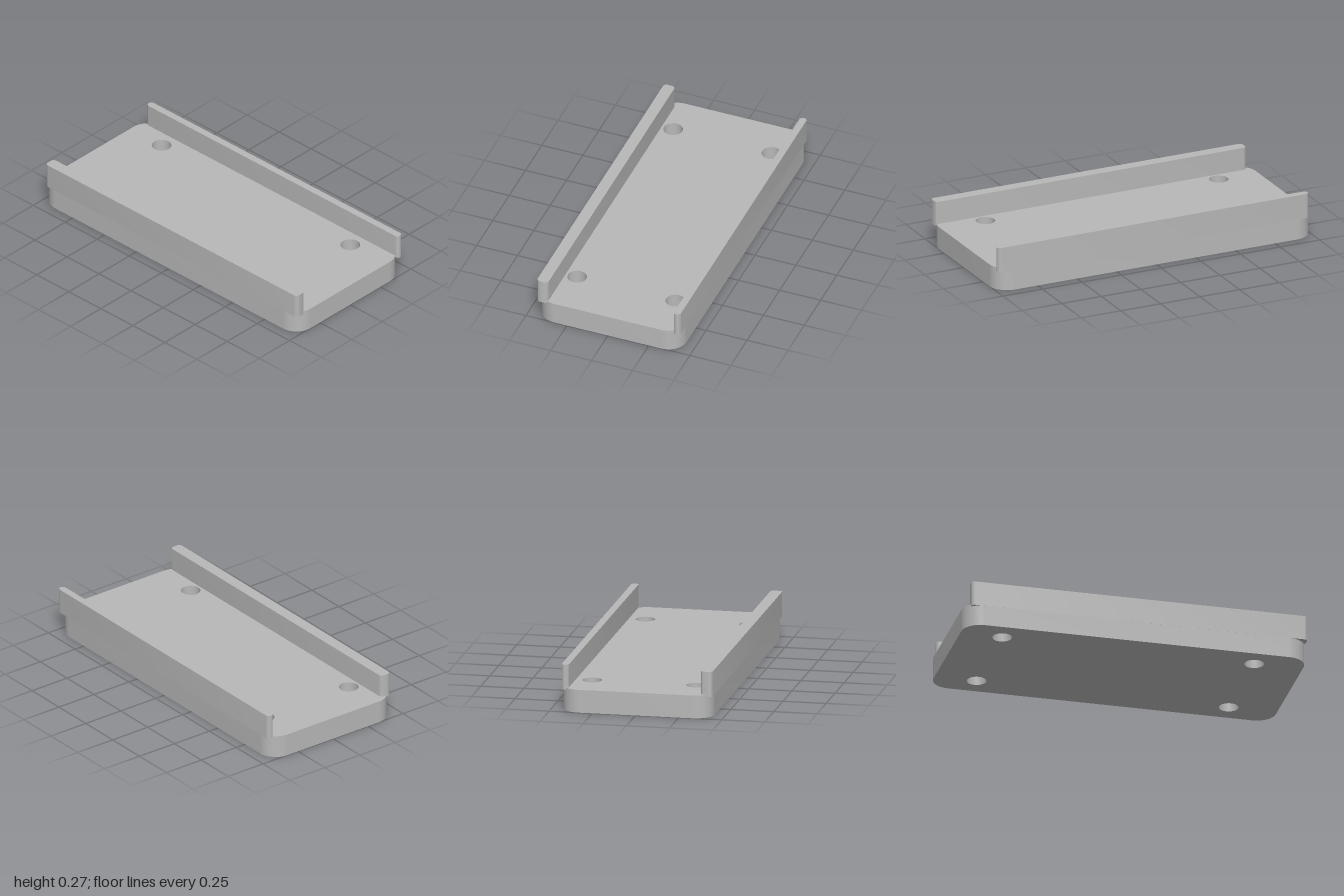
import * as THREE from 'three';
import { toCreasedNormals } from 'three/addons/utils/BufferGeometryUtils.js';

// Rounded rectangle outline in plan, from corner (x0, z0) to (x1, z1)
function roundedOutline(x0, x1, z0, z1, r) {
  const s = new THREE.Shape();
  // shape y is -z, so the extrusion stands upright after rotation
  s.absarc(x1 - r, -z0 - r, r, 0, Math.PI / 2);
  s.absarc(x0 + r, -z0 - r, r, Math.PI / 2, Math.PI);
  s.absarc(x0 + r, -z1 + r, r, Math.PI, Math.PI * 1.5);
  s.absarc(x1 - r, -z1 + r, r, Math.PI * 1.5, Math.PI * 2);
  s.closePath();
  return s;
}

// Extrude a plan outline upward from y0 to y1
function upright(name, shape, y0, y1, material) {
  const geo = new THREE.ExtrudeGeometry(shape, { depth: y1 - y0, bevelEnabled: false, curveSegments: 12 });
  geo.rotateX(-Math.PI / 2).translate(0, y0, 0);
  const mesh = new THREE.Mesh(toCreasedNormals(geo, 0.7), material);
  mesh.name = name;
  return mesh;
}

export function createModel() {
  const group = new THREE.Group();
  group.name = 'railedMountingPlate';
  const grey = new THREE.MeshStandardMaterial({ color: 0xb8b8b8 });
  grey.name = 'plain grey';

  // Base plate with four through holes
  const plate = roundedOutline(-1, 1, -0.437, 0.437, 0.11);
  for (const x of [-0.755, 0.718]) {
    for (const z of [-0.3, 0.3]) {
      const hole = new THREE.Path();
      hole.absarc(x, -z, 0.056, 0, Math.PI * 2, true);
      plate.holes.push(hole);
    }
  }
  group.add(upright('basePlate', plate, 0, 0.133, grey));

  // Side rails: the front one is thicker, both overhang the plate's round corners
  group.add(upright('frontRail', roundedOutline(-0.965, 0.997, 0.369, 0.4372, 0.021), 0.121, 0.267, grey));
  group.add(upright('backRail', roundedOutline(-0.965, 0.997, -0.4372, -0.395, 0.021), 0.121, 0.267, grey));

  return group;
}
